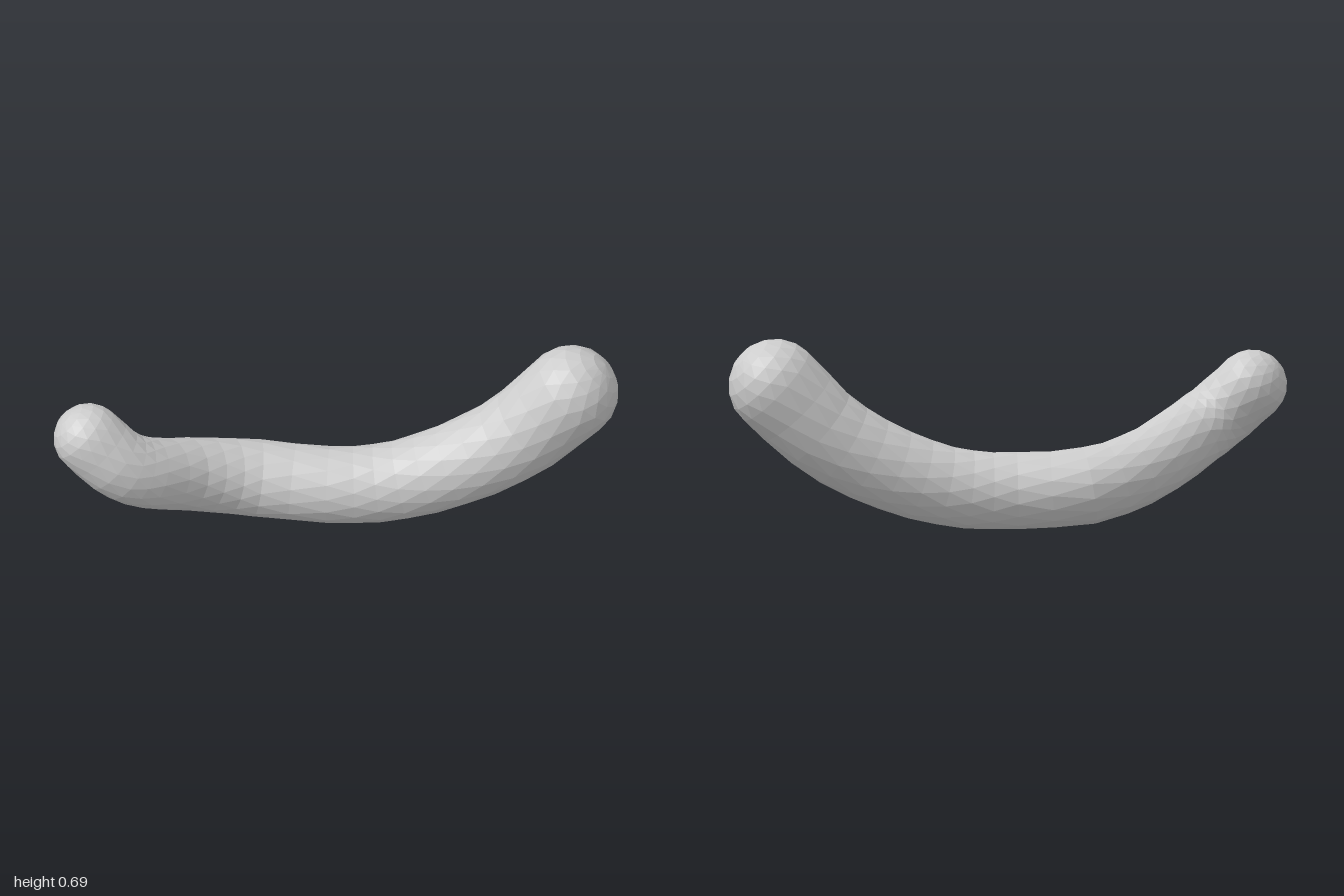
import * as THREE from 'three';

// Centre line of the curved body, right end to left end: x, y, z, radius
const SPINE = [
  [-0.877, 0.474, 0.081, 0.124],
  [-0.77, 0.375, 0.102, 0.124],
  [-0.68, 0.315, 0.075, 0.125],
  [-0.5, 0.222, -0.035, 0.129],
  [-0.3, 0.16, -0.093, 0.136],
  [0, 0.138, -0.067, 0.135],
  [0.2, 0.153, -0.06, 0.139],
  [0.42, 0.223, -0.058, 0.148],
  [0.64, 0.345, -0.056, 0.157],
  [0.832, 0.528, -0.054, 0.166],
];
const SIDES = 16;
const BODY_STEPS = 22;
const CAP_STEPS = 5;

function createBodyGeometry() {
  const curve = new THREE.CatmullRomCurve3(SPINE.map(([x, y, z]) => new THREE.Vector3(x, y, z)));
  const last = SPINE.length - 1;
  const radiusAt = (t) => {
    const i = Math.min(Math.floor(t * last), last - 1);
    return THREE.MathUtils.lerp(SPINE[i][3], SPINE[i + 1][3], t * last - i);
  };

  // Rings: rounded start, swept body, rounded end
  const rings = [];
  const addRing = (t, angle) => {
    const r = radiusAt(t) * 1.008;
    const dir = curve.getTangent(t);
    const centre = curve.getPoint(t).addScaledVector(dir, r * Math.sin(angle));
    rings.push({ centre, dir, r: r * Math.cos(angle) });
  };
  const quarter = Math.PI / 2;
  for (let i = 0; i < CAP_STEPS; i++) addRing(0, -quarter * (1 - i / CAP_STEPS));
  for (let i = 0; i <= BODY_STEPS; i++) addRing(i / BODY_STEPS, 0);
  for (let i = 1; i <= CAP_STEPS; i++) addRing(1, quarter * i / CAP_STEPS);

  // Each ring is turned half a facet, which gives a triangular facet pattern
  const positions = [];
  const indices = [];
  rings.forEach(({ centre, dir, r }, k) => {
    const side = new THREE.Vector3(0, 0, 1).addScaledVector(dir, -dir.z).normalize();
    const up = new THREE.Vector3().crossVectors(dir, side);
    for (let j = 0; j < SIDES; j++) {
      const a = (j + k / 2) / SIDES * Math.PI * 2;
      const p = centre.clone().addScaledVector(side, r * Math.cos(a)).addScaledVector(up, r * Math.sin(a));
      positions.push(p.x, p.y, p.z);
    }
    if (k === 0) return;
    for (let j = 0; j < SIDES; j++) {
      const n = (j + 1) % SIDES;
      const a = (k - 1) * SIDES + j, b = (k - 1) * SIDES + n;
      const c = k * SIDES + j, d = k * SIDES + n;
      indices.push(a, b, c, b, d, c);
    }
  });

  const geometry = new THREE.BufferGeometry();
  geometry.setAttribute('position', new THREE.Float32BufferAttribute(positions, 3));
  geometry.setIndex(indices);
  geometry.computeVertexNormals();
  return geometry;
}

export function createModel() {
  const group = new THREE.Group();
  group.name = 'curvedRod';
  const material = new THREE.MeshStandardMaterial({ color: 0xcccccc, flatShading: true });
  const body = new THREE.Mesh(createBodyGeometry(), material);
  body.name = 'curvedBody';
  group.add(body);
  return group;
}
